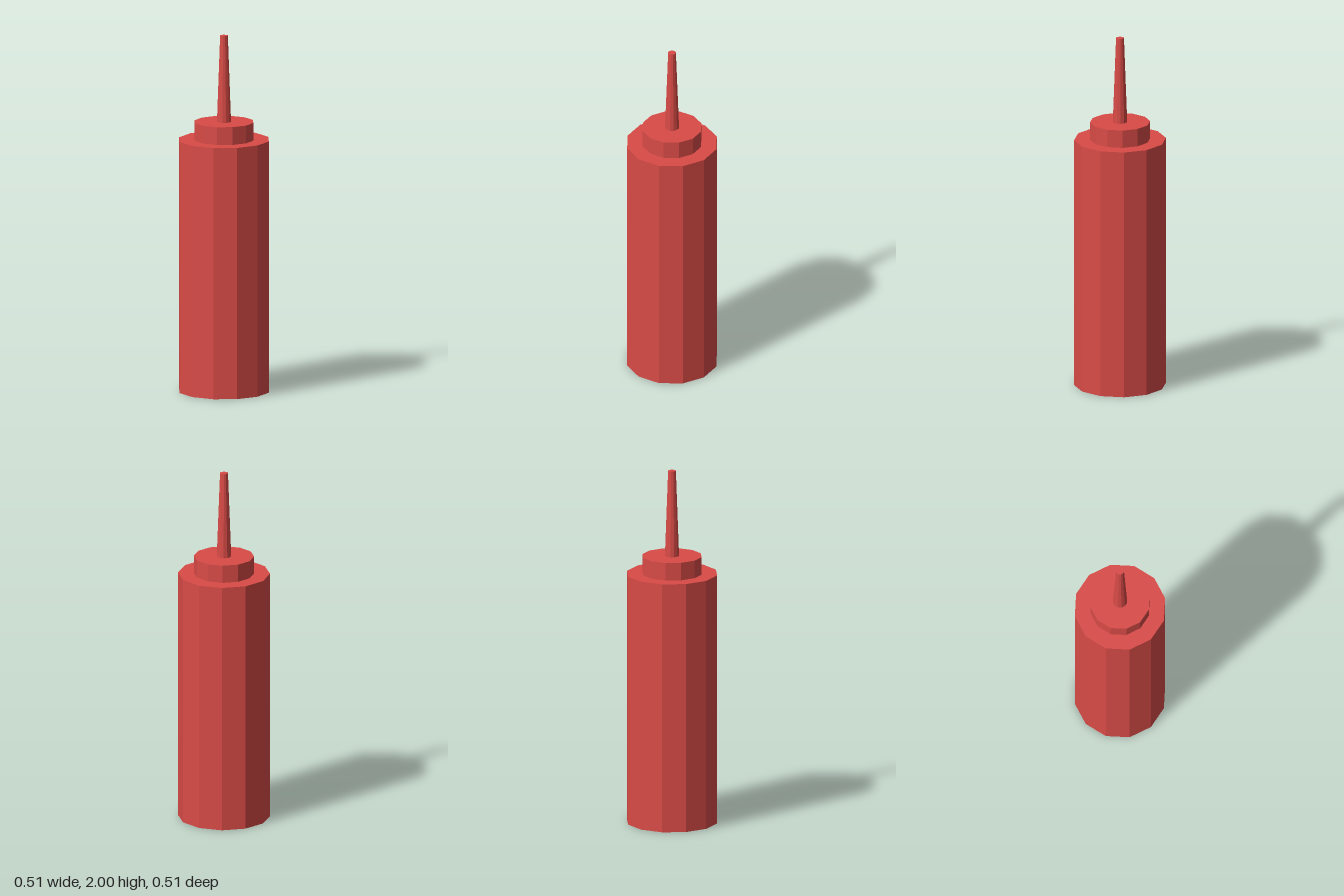
import * as THREE from 'three';

const SIDES = 12;

export function createModel() {
  const group = new THREE.Group();
  group.name = 'squeezeBottle';

  const red = new THREE.MeshStandardMaterial({ color: 0xd94b47, flatShading: true });
  red.name = 'red plastic';

  // Faceted round section standing between two heights
  const addSection = (name, bottomRadius, topRadius, y0, y1) => {
    const geometry = new THREE.CylinderGeometry(topRadius, bottomRadius, y1 - y0, SIDES);
    const mesh = new THREE.Mesh(geometry, red);
    mesh.name = name;
    mesh.position.y = (y0 + y1) / 2;
    group.add(mesh);
  };

  addSection('body', 0.255, 0.255, 0, 1.415);
  addSection('cap', 0.167, 0.167, 1.415, 1.515);
  addSection('nozzle', 0.04, 0.022, 1.515, 2);

  return group;
}
